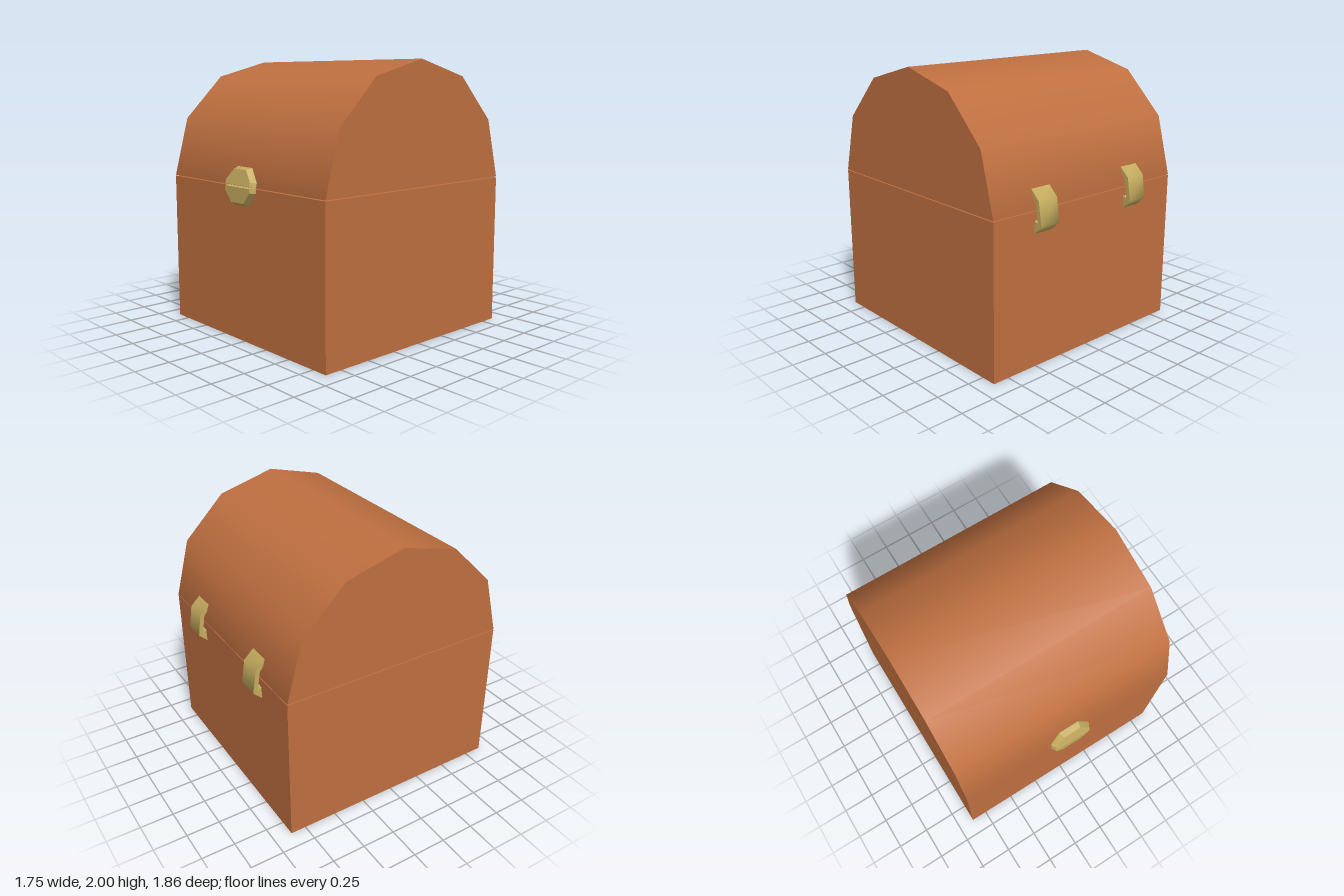
import * as THREE from 'three';
import { toCreasedNormals } from 'three/addons/utils/BufferGeometryUtils.js';
import { ConvexGeometry } from 'three/addons/geometries/ConvexGeometry.js';

const wood = new THREE.MeshStandardMaterial({ color: 0xc07040 });
wood.name = 'brown wood';
const brass = new THREE.MeshStandardMaterial({ color: 0xc4ab5e });
brass.name = 'brass';

const SIZE = 1.75, R = SIZE / 2, SEAM = 1.125, Z = 0.01;

function part(name, geometry, material, parent) {
  const mesh = new THREE.Mesh(geometry, material);
  mesh.name = name;
  parent.add(mesh);
  return mesh;
}

// Bevelled half octagon: wide at the back, smaller at the front; dir is +1 up, -1 down
function claspHalf(dir) {
  const ring = (pts, z) => pts.flatMap(([x, y]) => [-1, 1].map(s => new THREE.Vector3(s * x, dir * y, z)));
  return new ConvexGeometry([
    ...ring([[0.163, 0], [0.163, 0.035], [0.08, 0.135]], -0.01),
    ...ring([[0.163, 0], [0.163, 0.035], [0.08, 0.135]], 0.004),
    ...ring([[0.142, 0], [0.142, 0.03], [0.07, 0.112]], 0.043),
  ]);
}

// Bent strap, profile in (distance behind centre, height), extruded across its width
function hingeGeometry() {
  const profile = [
    [0.83, 1.263], [0.902, 1.194], [0.928, 1.024], [0.862, 0.96],
    [0.862, 1.055], [0.893, 1.04], [0.872, 1.175], [0.846, 1.21],
  ].map(([z, y]) => new THREE.Vector2(z, y));
  const width = 0.165;
  const geo = new THREE.ExtrudeGeometry(new THREE.Shape(profile), { depth: width, bevelEnabled: false });
  geo.translate(0, 0, -width / 2);
  geo.rotateY(Math.PI / 2); // profile distance becomes -z
  return toCreasedNormals(geo, 1.05);
}

export function createModel() {
  const chest = new THREE.Group();
  chest.name = 'chest';

  // Square base
  const baseHeight = 1.118;
  part('base', new THREE.BoxGeometry(SIZE, baseHeight, SIZE), wood, chest)
    .position.set(0, baseHeight / 2, Z);

  // Domed lid: half a twelve-sided cylinder with a flat underside
  const lid = new THREE.Group();
  lid.name = 'lid';
  lid.position.set(0, SEAM, Z);
  chest.add(lid);
  part('dome', new THREE.CylinderGeometry(R, R, SIZE, 6, 1, false, 0, Math.PI).rotateZ(Math.PI / 2), wood, lid);
  part('lidUnderside', new THREE.PlaneGeometry(SIZE, SIZE).rotateX(Math.PI / 2), wood, lid);

  // Clasp: the upper half leans back with the lid
  const clasp = new THREE.Group();
  clasp.name = 'clasp';
  clasp.position.set(0, SEAM, Z + R);
  chest.add(clasp);
  part('claspUpper', claspHalf(1), brass, clasp).rotation.x = -Math.PI / 12;
  part('claspLower', claspHalf(-1), brass, clasp).position.y = -0.003;

  // Pair of hinges at the back
  const strap = hingeGeometry();
  for (const side of [-1, 1]) {
    part(side > 0 ? 'hingeLeft' : 'hingeRight', strap, brass, chest).position.x = side * 0.44;
  }

  return chest;
}
